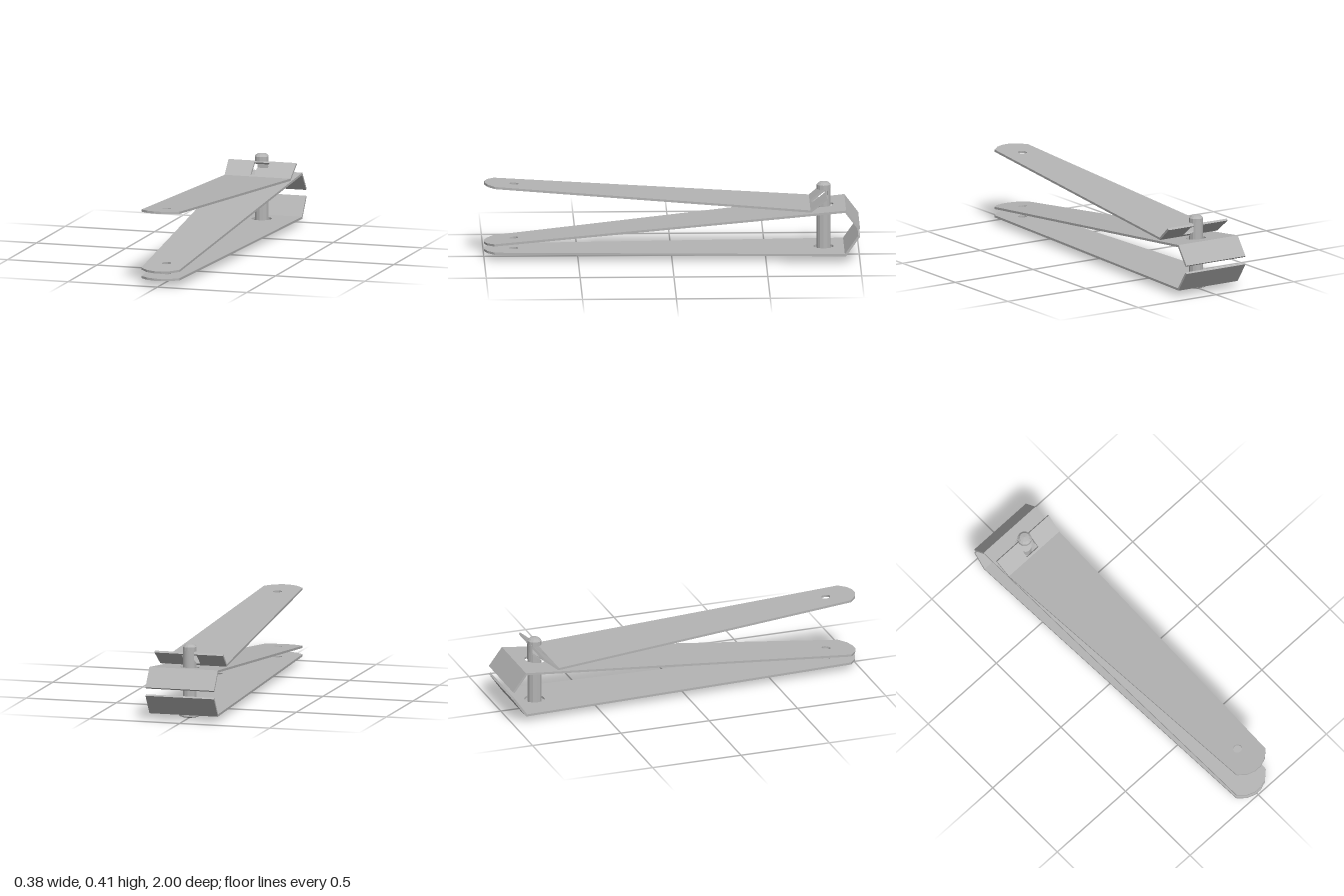
import * as THREE from 'three';

const T = 0.012;          // sheet thickness
const PIN_Z = -0.81;      // pin axis
const HOLE_Z = 0.84;      // small hole near the rounded tips

export function createModel() {
  const model = new THREE.Group();
  const steel = new THREE.MeshStandardMaterial({ color: 0xb4b4b4 });

  const add = (parent, name, geometry) => {
    const flat = geometry.index ? geometry.toNonIndexed() : geometry;
    flat.computeVertexNormals();
    const mesh = new THREE.Mesh(flat, steel);
    mesh.name = name;
    parent.add(mesh);
    return mesh;
  };

  const circle = (y, r) => new THREE.Path().absarc(0, y, r, 0, Math.PI * 2, true);

  // Sheet panel whose lower face runs from a to b, each [z, y]; ends are mitred to meet the bend.
  const panel = (parent, name, a, b, outline, holes, mitreA, mitreB) => {
    const dir = new THREE.Vector3(0, b[1] - a[1], b[0] - a[0]);
    const len = dir.length();
    dir.normalize();
    const shape = new THREE.Shape(outline(len).map(p => new THREE.Vector2(...p)));
    shape.holes.push(...holes);
    const g = new THREE.ExtrudeGeometry(shape, { depth: T, bevelEnabled: false, curveSegments: 6 });
    const p = g.attributes.position;
    for (let i = 0; i < p.count; i++) {
      const s = p.getY(i);
      if (s < 1e-5) p.setY(i, s + p.getZ(i) * mitreA);
      if (s > len - 1e-5) p.setY(i, s - p.getZ(i) * mitreB);
    }
    const x = new THREE.Vector3(1, 0, 0);
    const m = new THREE.Matrix4().makeBasis(x, dir, x.clone().cross(dir));
    m.setPosition(0, a[1], a[0]);
    add(parent, name, g.applyMatrix4(m));
  };

  // A tapered arm with a rounded tip, bent at its back end
  const bentArm = (name, tip, bend, end, halfBend, halfEnd, pinHole, bentHoles) => {
    const group = new THREE.Group();
    group.name = name;
    model.add(group);
    const a1 = Math.atan2(bend[1] - tip[1], tip[0] - bend[0]);
    const a2 = Math.atan2(end[1] - bend[1], bend[0] - end[0]);
    const mitre = Math.tan((a2 - a1) / 2);
    const along = z => (tip[0] - z) / Math.cos(a1);
    const holes = [circle(along(HOLE_Z), 0.024)];
    if (pinHole) holes.push(circle(along(PIN_Z), pinHole));
    panel(group, name + 'Blade', tip, bend, len => [
      [-0.02, 0.002], [0.02, 0.002], [0.065, 0.018], [0.107, 0.055],
      [halfBend, len], [-halfBend, len], [-0.107, 0.055], [-0.065, 0.018],
    ], holes, 0, mitre);
    panel(group, name + 'Bend', bend, end, len => [
      [-halfBend, 0], [halfBend, 0], [halfEnd, len], [-halfEnd, len],
    ], bentHoles, mitre, 0);
  };

  bentArm('lowerArm', [1, 0.033], [-0.925, 0.033], [-1, 0.14], 0.19, 0.19, 0.055, []);
  bentArm('upperArm', [1, 0.073], [-0.92, 0.271], [-0.99, 0.178], 0.19, 0.19, 0.055, []);

  // Lever with a window in its raised tab for the pin
  const tabWindow = new THREE.Path([[-0.042, 0.018], [-0.042, 0.104], [0.042, 0.104], [0.042, 0.018]]
    .map(p => new THREE.Vector2(...p)));
  bentArm('lever', [1, 0.397], [-0.74, 0.272], [-0.83, 0.345], 0.184, 0.19, 0, [tabWindow]);

  // Pin: domed foot, post with a slanted notch, and cap
  const pin = new THREE.Group();
  pin.name = 'pin';
  pin.position.z = PIN_Z;
  model.add(pin);
  const lathe = pts => new THREE.LatheGeometry(pts.map(p => new THREE.Vector2(...p)), 12);
  add(pin, 'pinFoot', lathe([[0, 0], [0.02, 0.001], [0.045, 0.006], [0.058, 0.012], [0.058, 0.02], [0, 0.02]]));

  const post = new THREE.CylinderGeometry(0.038, 0.038, 0.26, 12);
  post.translate(0, 0.145, 0);
  const pp = post.attributes.position;
  for (let i = 0; i < pp.count; i++) {
    if (pp.getY(i) > 0.2) pp.setY(i, 0.265 + (0.038 - pp.getZ(i)) * 0.83);
  }
  add(pin, 'pinPost', post);

  const neckShape = new THREE.Shape().absarc(0, 0, 0.038, 0.62, Math.PI - 0.62, false);
  const neck = new THREE.ExtrudeGeometry(neckShape, { depth: 0.09, bevelEnabled: false, curveSegments: 5 });
  neck.rotateX(-Math.PI / 2).translate(0, 0.275, 0);
  add(pin, 'pinNeck', neck);

  add(pin, 'pinCap', lathe([[0, 0.36], [0.038, 0.36], [0.038, 0.384], [0.026, 0.396], [0, 0.4]]));

  return model;
}
